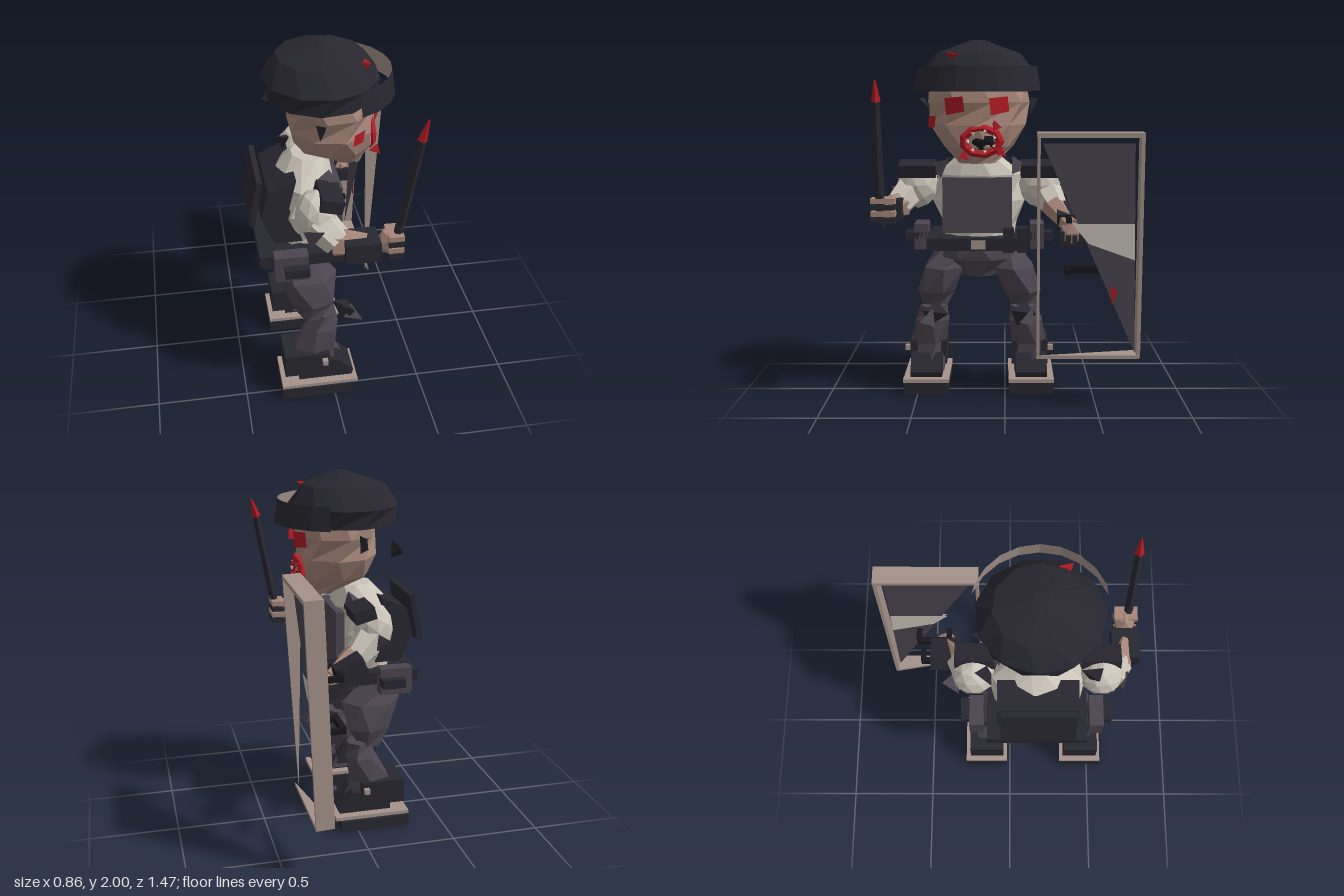
import * as THREE from 'three';

const C = { dark: 0x282730, purple: 0x4b444f, skin: 0xa58578, shirt: 0xcac3b8, frame: 0xa5928a, red: 0xb01a22, black: 0x17171c };
const MID = 0.15; // the body's centre plane in z; the figure faces +x

export function createModel() {
  const model = new THREE.Group();

  const add = (name, geometry, color, side = THREE.FrontSide, parent = model) => {
    const mesh = new THREE.Mesh(geometry, new THREE.MeshStandardMaterial({ color, flatShading: true, side }));
    mesh.name = name;
    parent.add(mesh);
    return mesh;
  };

  // Box given by its extents on each axis
  const box = (name, color, [x0, x1], [y0, y1], [z0, z1], parent = model) => {
    const m = add(name, new THREE.BoxGeometry(x1 - x0, y1 - y0, Math.abs(z1 - z0)), color, THREE.FrontSide, parent);
    m.position.set((x0 + x1) / 2, (y0 + y1) / 2, (z0 + z1) / 2);
    return m;
  };

  // Closed loft through elliptical rings [x, y, z, radiusX, radiusZ], bottom to top
  const loft = (name, color, rings, sides) => {
    const pos = [], idx = [];
    rings.forEach(([x, y, z, rx, rz], r) => {
      for (let i = 0; i < sides; i++) {
        const a = ((i + (r % 2) * 0.4) / sides) * Math.PI * 2;
        pos.push(x + rx * Math.cos(a), y, z - rz * Math.sin(a));
      }
    });
    for (let r = 0; r < rings.length - 1; r++) {
      for (let i = 0; i < sides; i++) {
        const a = r * sides + i, b = r * sides + (i + 1) % sides;
        idx.push(a, b, b + sides, a, b + sides, a + sides);
      }
    }
    const top = (rings.length - 1) * sides;
    for (let i = 1; i < sides - 1; i++) idx.push(0, i + 1, i, top, top + i, top + i + 1);
    const g = new THREE.BufferGeometry();
    g.setAttribute('position', new THREE.Float32BufferAttribute(pos, 3));
    g.setIndex(idx);
    g.computeVertexNormals();
    return add(name, g, color);
  };

  // Tapered bar between two points
  const bar = (name, color, from, to, r0, r1, sides = 6) => {
    const a = new THREE.Vector3(...from), b = new THREE.Vector3(...to);
    const m = add(name, new THREE.CylinderGeometry(r1, r0, a.distanceTo(b), sides), color);
    m.position.copy(a).lerp(b, 0.5);
    m.quaternion.setFromUnitVectors(new THREE.Vector3(0, 1, 0), b.sub(a).normalize());
    return m;
  };

  const blob = (name, color, [x, y, z], [sx, sy, sz], detail = 1) => {
    const m = add(name, new THREE.IcosahedronGeometry(1, detail), color);
    m.position.set(x, y, z);
    m.scale.set(sx, sy, sz);
    return m;
  };

  const shard = (name, color, p, s, turn = 0.6) => {
    const m = add(name, new THREE.TetrahedronGeometry(1), color);
    m.position.set(...p);
    m.scale.set(...s);
    m.rotation.set(turn, turn * 0.7, turn * 0.4);
  };

  const outline = (pts) => new THREE.Shape(pts.map((p) => new THREE.Vector2(...p)));
  const slab = (pts, depth) => new THREE.ExtrudeGeometry(outline(pts), { depth, bevelEnabled: false }).translate(0, 0, -depth / 2);
  // Flat outline drawn in (z, y)
  const sheet = (pts) => new THREE.ShapeGeometry(outline(pts)).rotateY(-Math.PI / 2);

  // Head and face
  loft('head', C.skin, [[0.12, 1.33, MID, 0.08, 0.1], [0.05, 1.42, MID, 0.21, 0.2], [0.03, 1.54, MID, 0.23, 0.27],
    [0.03, 1.66, MID, 0.23, 0.29], [0.01, 1.78, MID, 0.22, 0.27]], 9);
  for (const s of [-1, 1]) {
    const eye = add('eye', sheet([[-0.06, -0.03], [0.05, -0.05], [0.06, 0.04], [-0.05, 0.05]]), C.red, THREE.DoubleSide);
    eye.position.set(0.255, 1.645, MID + s * 0.12);
    eye.rotation.y = -s * 0.45;
    shard('hairTuft', C.dark, [-0.25, 1.6, MID + s * 0.27], [0.05, 0.09, 0.04], 0.7 * s);
    shard('sideburn', C.dark, [-0.06, 1.64, MID + s * 0.3], [0.035, 0.08, 0.03], 0.4 * s);
  }
  const cheek = add('cheekWound', new THREE.ShapeGeometry(outline([[-0.04, -0.03], [0.03, -0.03], [0.045, 0.035], [-0.03, 0.03]])), C.red, THREE.DoubleSide);
  cheek.position.set(0.14, 1.555, 0.4);
  cheek.rotation.y = 0.6;
  const lips = add('lips', new THREE.TorusGeometry(0.085, 0.022, 4, 9), C.red);
  lips.position.set(0.25, 1.455, 0.125);
  lips.rotation.y = Math.PI / 2;
  lips.scale.set(1.15, 0.85, 1);
  blob('mouth', C.black, [0.235, 1.455, 0.125], [0.025, 0.055, 0.08], 0);
  for (let i = 0; i < 7; i++) {
    const a = (i / 7) * Math.PI * 2;
    shard('tooth', C.shirt, [0.268, 1.455 + Math.sin(a) * 0.055, 0.125 + Math.cos(a) * 0.075], [0.012, 0.018, 0.012], a);
  }
  for (const [y, z] of [[1.54, 0.05], [1.38, 0.22], [1.4, 0.02]]) shard('bloodDrop', C.red, [0.27, y, z], [0.03, 0.04, 0.04], y * 4);

  // Cap: crown with a standing front band
  loft('capCrown', C.dark, [[-0.02, 1.72, MID, 0.29, 0.31], [-0.02, 1.82, MID, 0.31, 0.33], [-0.02, 1.93, MID, 0.23, 0.24], [0, 2, MID, 0.03, 0.04]], 11);
  const bandShape = new THREE.CylinderGeometry(0.35, 0.37, 0.13, 8, 1, true, Math.PI / 2 - 1.2, 2.4);
  for (const [name, color, side] of [['capBand', C.dark, THREE.FrontSide], ['capBandLining', C.frame, THREE.BackSide]]) {
    add(name, bandShape, color, side).position.set(0, 1.79, MID);
  }
  shard('capStain', C.red, [0.18, 1.91, 0.28], [0.05, 0.04, 0.05]);

  // Torso, vest and back plate
  loft('shirt', C.shirt, [[-0.14, 0.86, MID, 0.16, 0.2], [-0.14, 0.97, MID, 0.17, 0.22], [-0.13, 1.1, MID, 0.17, 0.27],
    [-0.12, 1.25, MID, 0.17, 0.25], [-0.08, 1.37, MID, 0.1, 0.11]], 9);
  box('vestFront', C.purple, [0.02, 0.07], [0.93, 1.24], [-0.04, 0.35]);
  add('vestBack', slab([[-0.18, 1.32], [-0.33, 1.25], [-0.37, 1.1], [-0.3, 0.94], [-0.15, 0.94], [-0.22, 1.15]], 0.44), C.dark).position.z = MID;
  const plate = box('backPlate', C.dark, [-0.41, -0.38], [1.05, 1.32], [-0.05, 0.36]);
  plate.rotation.z = -0.18;

  // Belt, buckle and pouches
  box('belt', C.dark, [-0.39, 0.09], [0.83, 0.9], [-0.13, 0.44]);
  box('buckle', C.frame, [0.08, 0.1], [0.84, 0.89], [0.11, 0.19]);
  for (const z of [-0.1, -0.02]) box('frontPouch', C.dark, [0.03, 0.1], [0.82, 0.96], [z - 0.03, z + 0.03]);
  loft('hips', C.purple, [[-0.1, 0.66, MID, 0.07, 0.1], [-0.15, 0.76, MID, 0.18, 0.24], [-0.16, 0.85, MID, 0.19, 0.2]], 8);

  // Legs, boots and shoulder gear on both sides
  for (const s of [-1, 1]) {
    const z = (d) => MID + s * d;
    box('sidePouch', C.purple, [-0.32, -0.14], [0.8, 0.95], [z(0.3), z(0.38)]);
    box('hipPouch', C.dark, [-0.27, -0.14], [0.85, 0.9], [z(0.3), z(0.43)]);
    loft('thigh', C.purple, [[-0.11, 0.47, z(0.26), 0.07, 0.08], [-0.1, 0.57, z(0.25), 0.13, 0.11],
      [-0.13, 0.71, z(0.2), 0.17, 0.13], [-0.22, 0.83, z(0.12), 0.13, 0.12]], 6);
    loft('shin', C.purple, [[-0.07, 0.11, z(0.29), 0.16, 0.1], [-0.1, 0.27, z(0.29), 0.13, 0.1],
      [-0.05, 0.41, z(0.27), 0.09, 0.11], [-0.04, 0.49, z(0.26), 0.07, 0.08]], 6);
    shard('kneePad', C.dark, [0.08, 0.47, z(0.25)], [0.07, 0.08, 0.1], 0.5);
    shard('kneePad', C.purple, [0.13, 0.45, z(0.28)], [0.05, 0.06, 0.08], 1.4);
    box('bootCuff', C.dark, [-0.28, -0.03], [0.14, 0.28], [z(0.19), z(0.4)]);
    box('bootBuckle', C.frame, [-0.07, -0.04], [0.22, 0.25], [z(0.4), z(0.43)]);
    add('bootToe', slab([[-0.2, 0.1], [0.1, 0.1], [0.11, 0.13], [0.02, 0.22], [-0.2, 0.2]], 0.18), C.dark).position.z = z(0.3);
    box('welt', C.frame, [-0.3, 0.13], [0.075, 0.095], [z(0.17), z(0.43)]);
    box('sole', C.dark, [-0.3, 0.1], [0, 0.065], [z(0.175), z(0.43)]);
    blob('shoulder', C.shirt, [-0.1, 1.19, z(0.35)], [0.11, 0.14, 0.12]);
    box('shoulderPad', C.dark, [-0.09, 0.03], [1.25, 1.32], [z(0.24), z(0.45)]).rotation.z = -0.25;
    shard('collarFlap', C.purple, [-0.02, 1.3, z(0.22)], [0.08, 0.06, 0.07], 0.9 * s);
    shard('armStrap', C.purple, [-0.12, 1.13, z(0.46)], [0.08, 0.09, 0.05], 0.5 * s);
  }

  // Knife arm
  bar('knifeUpperArm', C.shirt, [-0.1, 1.17, 0.53], [0, 1.08, 0.61], 0.1, 0.08);
  bar('knifeForearm', C.skin, [-0.02, 1.08, 0.6], [0.14, 1.08, 0.65], 0.08, 0.06);
  box('knifeGlove', C.dark, [0.02, 0.2], [1.02, 1.13], [0.57, 0.73]);
  blob('knifeHand', C.skin, [0.25, 1.09, 0.65], [0.06, 0.08, 0.07], 0);
  for (let i = 0; i < 4; i++) box('finger', i % 2 ? C.skin : C.dark, [0.24, 0.32], [1.02 + i * 0.035, 1.048 + i * 0.035], [0.59, 0.72]);
  bar('knifeHandle', C.dark, [0.27, 1.0, 0.67], [0.305, 1.19, 0.67], 0.025, 0.025);
  bar('knifeBlade', C.dark, [0.305, 1.19, 0.67], [0.395, 1.68, 0.67], 0.026, 0.02, 4);
  bar('bloodyTip', C.red, [0.39, 1.67, 0.67], [0.42, 1.78, 0.67], 0.026, 0.005, 4);

  // Shield arm
  bar('shieldUpperArm', C.shirt, [-0.1, 1.17, -0.22], [0.02, 1.06, -0.29], 0.1, 0.07);
  bar('shieldForearm', C.skin, [0, 1.08, -0.27], [0.18, 0.98, -0.37], 0.07, 0.05);
  box('shieldGlove', C.dark, [0.0, 0.16], [0.98, 1.08], [-0.45, -0.29]).rotation.z = -0.4;
  blob('shieldHand', C.skin, [0.19, 0.95, -0.37], [0.05, 0.07, 0.07], 0);
  for (let i = 0; i < 4; i++) box('finger', C.dark, [0.14, 0.23], [0.88, 0.96], [-0.43 + i * 0.035, -0.405 + i * 0.035]);

  // Shield: broken frame with a torn panel, leaning forward
  const shield = new THREE.Group();
  shield.name = 'shield';
  shield.position.set(0.32, 0.9, -0.45);
  shield.rotation.z = -0.04;
  model.add(shield);
  const H = 0.61, D = 0.05;
  const post = [[-D, -H], [D, -H], [D, H], [-D, H]];
  add('fullPost', slab(post, 0.02), C.frame, THREE.DoubleSide, shield).position.z = -0.275;
  add('tornPost', slab([[0.03, -H], [D, H], [-D, H]], 0.015), C.frame, THREE.DoubleSide, shield).position.z = 0.27;
  box('topRail', C.frame, [-D, D], [H - 0.025, H], [-0.28, 0.28], shield);
  const sill = add('tornSill', slab([[-D, -0.28], [D, -0.28], [D, 0.28]], 0.02), C.frame, THREE.DoubleSide, shield);
  sill.rotation.x = Math.PI / 2;
  sill.position.y = -H;
  add('panel', sheet([[0.25, 0.55], [-0.24, 0.55], [-0.26, -0.6]]), C.purple, THREE.DoubleSide, shield);
  for (const x of [-0.006, 0.006]) {
    add('panelStripe', sheet([[0.09, 0.12], [-0.245, 0.12], [-0.25, -0.08], [0, 0.01]]), C.shirt, THREE.DoubleSide, shield).position.x = x;
  }
  add('panelBlood', sheet([[-0.12, -0.22], [-0.16, -0.25], [-0.13, -0.33]]), C.red, THREE.DoubleSide, shield).position.x = 0.012;
  for (const y of [-0.17, 0.12]) {
    box('shieldHandle', C.black, [-0.18, -0.15], [y - 0.02, y + 0.02], [-0.08, 0.12], shield);
    for (const z of [-0.07, 0.1]) box('handleStay', C.black, [-0.16, -0.09], [y - 0.015, y + 0.015], [z - 0.015, z + 0.015], shield);
  }
  return model;
}
